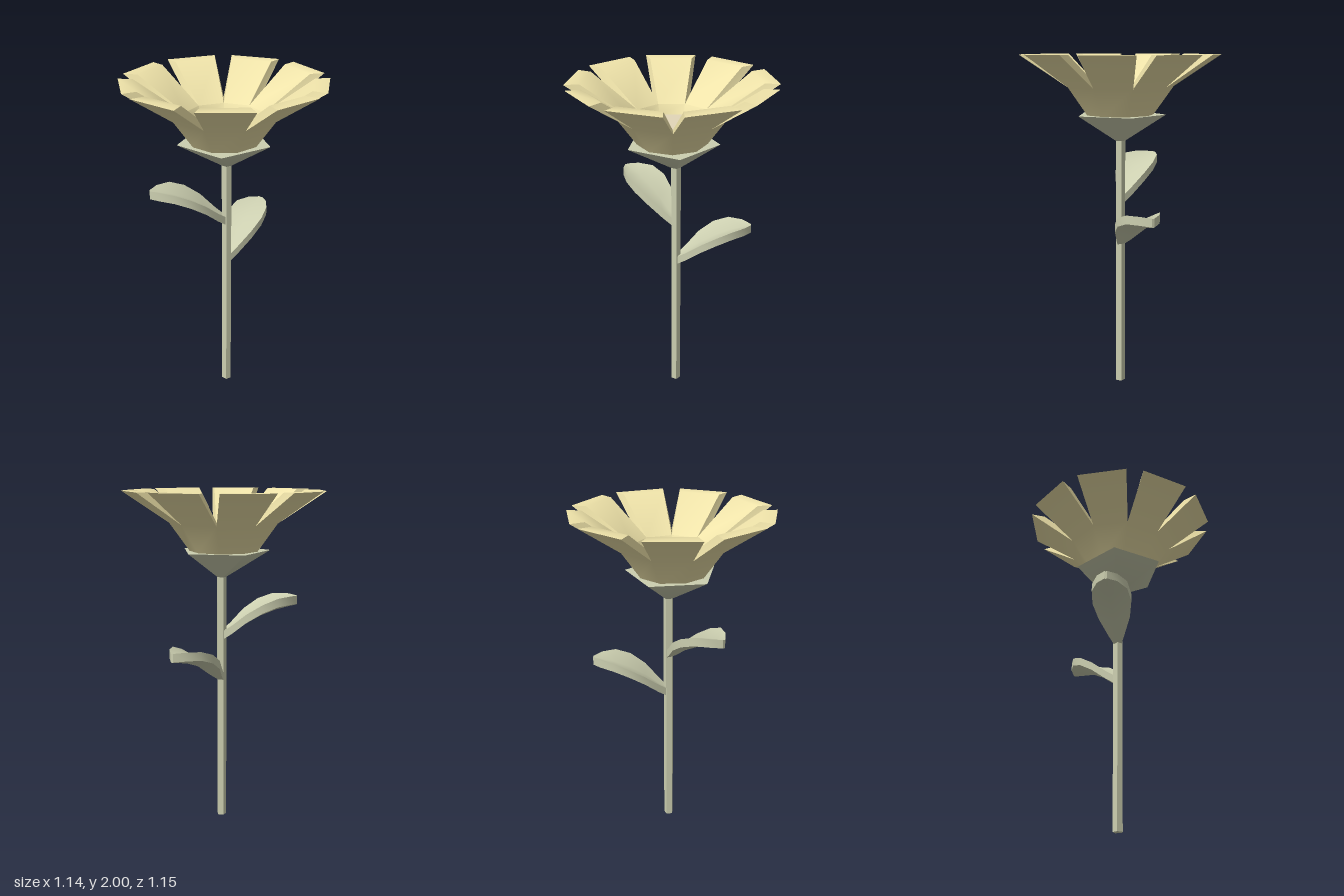
import * as THREE from 'three';
import { toCreasedNormals } from 'three/addons/utils/BufferGeometryUtils.js';

const material = (color) =>
  new THREE.MeshStandardMaterial({ color, side: THREE.DoubleSide });
const green = material(0xcccfb0);
const yellow = material(0xf0e4aa);
const cream = material(0xe2d7b8);

function part(name, geometry, mat) {
  const mesh = new THREE.Mesh(toCreasedNormals(geometry, 0.7), mat);
  mesh.name = name;
  return mesh;
}

// Builds a surface from four-cornered faces, corners counter-clockwise
function fromQuads(quads) {
  const pos = [];
  for (const [a, b, c, d] of quads) pos.push(...a, ...b, ...c, ...a, ...c, ...d);
  const geo = new THREE.BufferGeometry();
  geo.setAttribute('position', new THREE.Float32BufferAttribute(pos, 3));
  return geo;
}

// One petal with its share of the cup wall; profiles are [radius, height, half width]
function petalQuads(angle) {
  const c = Math.cos(angle), s = Math.sin(angle), t = Math.tan(Math.PI / 9);
  const at = ([r, y, w], side) => [r * c - side * w * s, y, r * s + side * w * c];
  const outer = [[0.188, 1.66, 0.188 * t], [0.296, 1.82, 0.296 * t], [0.56, 2, 0.149]];
  const inner = [[0.188, 1.755, 0.188 * t], [0.211, 1.81, 0.211 * t], [0.48, 2, 0.123]];
  const [, o1, o2] = outer, [, i1, i2] = inner;
  const quads = [];
  for (let k = 0; k < 2; k++) {
    quads.push([at(outer[k], 1), at(outer[k], -1), at(outer[k + 1], -1), at(outer[k + 1], 1)]);
    quads.push([at(inner[k], -1), at(inner[k], 1), at(inner[k + 1], 1), at(inner[k + 1], -1)]);
  }
  // slit sides and flat tip
  quads.push([at(i1, 1), at(o1, 1), at(o2, 1), at(i2, 1)]);
  quads.push([at(o1, -1), at(i1, -1), at(i2, -1), at(o2, -1)]);
  quads.push([at(o2, 1), at(o2, -1), at(i2, -1), at(i2, 1)]);
  return quads;
}

// Arched leaf with a sunken midrib, lofted along +x: [length, top height, half width, rim rise]
function leafGeometry() {
  const stations = [
    [-0.01, 0.05, 0.012, 0], [0.06, 0.09, 0.05, 0.015], [0.14, 0.15, 0.095, 0.028],
    [0.23, 0.2, 0.117, 0.035], [0.32, 0.235, 0.105, 0.033], [0.4, 0.255, 0.06, 0.018],
    [0.447, 0.265, 0.008, 0.003],
  ];
  const thick = 0.05;
  const rings = stations.map(([x, y, w, r]) => [
    [x, y + r, -w], [x, y, 0], [x, y + r, w],
    [x, y + r - thick, w], [x, y - thick, 0], [x, y + r - thick, -w],
  ]);
  const quads = [];
  for (let i = 0; i < rings.length - 1; i++)
    for (let j = 0; j < 6; j++) {
      const n = (j + 1) % 6;
      quads.push([rings[i][j], rings[i][n], rings[i + 1][n], rings[i + 1][j]]);
    }
  const tip = rings[rings.length - 1], base = rings[0];
  for (const [a, b, c, d] of [[0, 1, 4, 5], [1, 2, 3, 4]]) {
    quads.push([tip[a], tip[b], tip[c], tip[d]]);
    quads.push([base[d], base[c], base[b], base[a]]);
  }
  return fromQuads(quads);
}

export function createModel() {
  const model = new THREE.Group();
  model.name = 'flower';
  const stemX = 0.021;

  // Five-sided stem
  const stemHeight = 1.53;
  const stem = part('stem',
    new THREE.CylinderGeometry(0.0295, 0.0295, stemHeight, 5, 1, false, Math.PI / 2), green);
  stem.position.set(stemX, stemHeight / 2, 0);
  model.add(stem);

  // Calyx: inverted five-sided cone, its narrow end shifted onto the stem
  const calyxGeo = new THREE.CylinderGeometry(0.271, 0.03, 0.15, 5, 1, false, Math.PI / 2);
  const p = calyxGeo.attributes.position;
  for (let i = 0; i < p.count; i++) if (p.getY(i) < 0) p.setX(i, p.getX(i) + stemX);
  const calyx = part('calyx', calyxGeo, green);
  calyx.position.y = 1.585;
  model.add(calyx);

  // Ring of nine petals joined at the cup
  const quads = [];
  for (let k = 0; k < 9; k++) quads.push(...petalQuads(((20 + 40 * k) * Math.PI) / 180));
  model.add(part('petals', fromQuads(quads), yellow));

  // Nine-sided disc at the bottom of the cup
  const centre = part('flowerCentre', new THREE.CircleGeometry(0.2, 9), cream);
  centre.rotation.x = -Math.PI / 2;
  centre.position.y = 1.755;
  model.add(centre);

  // Two leaves
  for (const [name, y, turn] of [['lowerLeaf', 0.87, 10], ['upperLeaf', 1.125, 142]]) {
    const leaf = part(name, leafGeometry(), green);
    leaf.position.set(stemX, y, 0);
    leaf.rotation.y = (turn * Math.PI) / 180;
    model.add(leaf);
  }
  return model;
}
